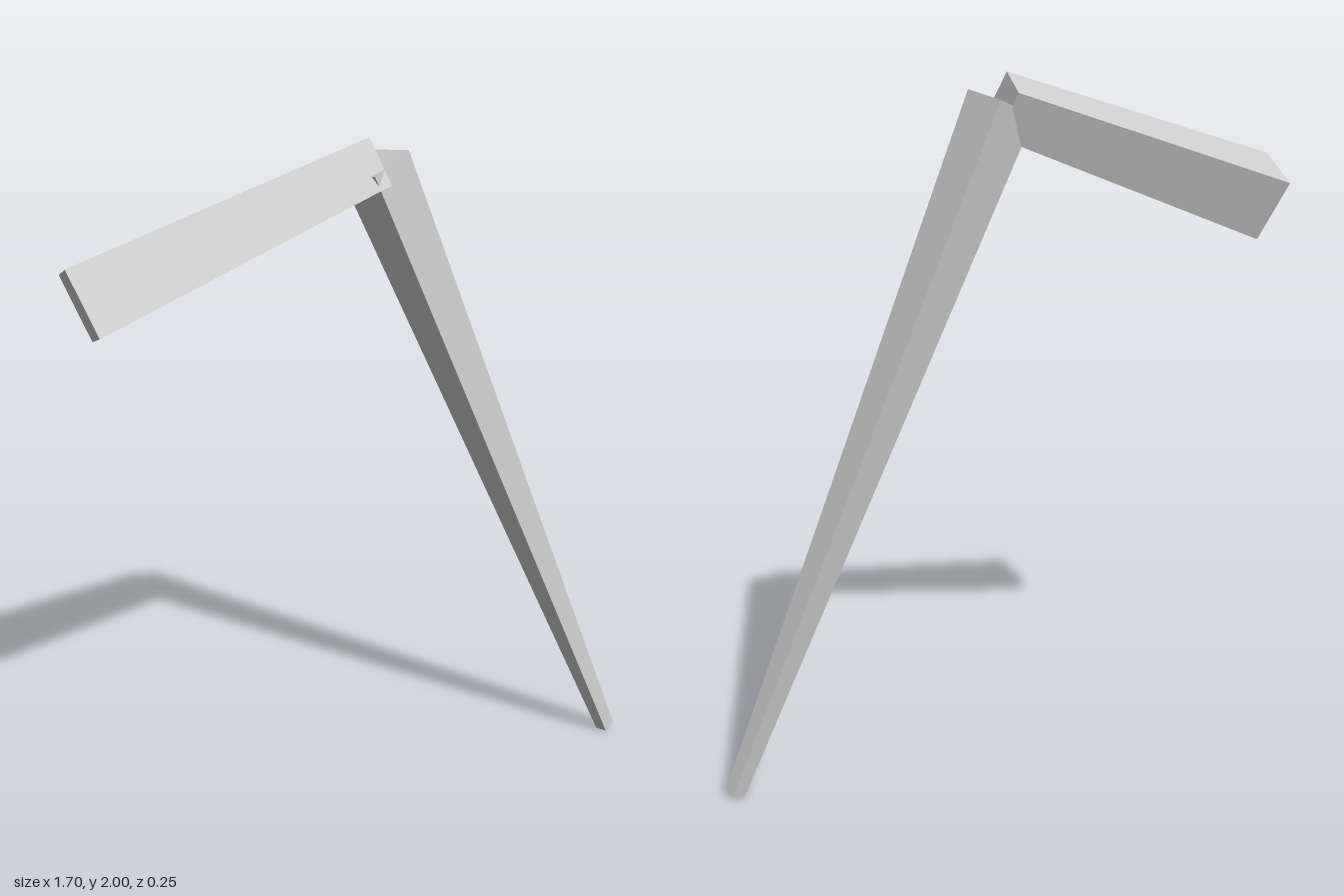
import * as THREE from 'three';

const grey = new THREE.MeshStandardMaterial({ color: 0xcccccc });
grey.name = 'grey';

// Square bar tapering from width w0 at start to w1 at end, rolled about its own axis
function taperedBar(name, start, end, w0, w1, roll) {
  const a = new THREE.Vector3(...start);
  const b = new THREE.Vector3(...end);
  const dir = b.clone().sub(a);
  const length = dir.length();
  dir.normalize();

  const geometry = new THREE.BoxGeometry(1, length, 1);
  const pos = geometry.attributes.position;
  for (let i = 0; i < pos.count; i++) {
    const w = pos.getY(i) < 0 ? w0 : w1;
    pos.setX(i, pos.getX(i) * w);
    pos.setZ(i, pos.getZ(i) * w);
  }

  // Frame: u is a side direction, dir runs along the bar
  const angle = THREE.MathUtils.degToRad(roll);
  const side = new THREE.Vector3(dir.y, -dir.x, 0).normalize();
  const u = side.multiplyScalar(Math.cos(angle));
  u.z = Math.sin(angle);
  u.addScaledVector(dir, -u.dot(dir)).normalize();
  const v = u.clone().cross(dir);
  geometry.applyMatrix4(new THREE.Matrix4().makeBasis(u, dir, v));
  geometry.translate(...a.add(b).multiplyScalar(0.5).toArray());
  const flat = geometry.toNonIndexed();
  flat.computeVertexNormals();

  const mesh = new THREE.Mesh(flat, grey);
  mesh.name = name;
  return mesh;
}

export function createModel() {
  const model = new THREE.Group();
  model.name = 'jointedLeg';
  // Thick upper segment and long thin lower segment meeting at the knee
  model.add(taperedBar('upperLeg', [0.005, 1.915, -0.002], [-0.81, 1.623, 0], 0.137, 0.192, -21));
  model.add(taperedBar('lowerLeg', [0.007, 1.92, -0.004], [0.82, 0.011, -0.002], 0.137, 0.041, 21));
  return model;
}
